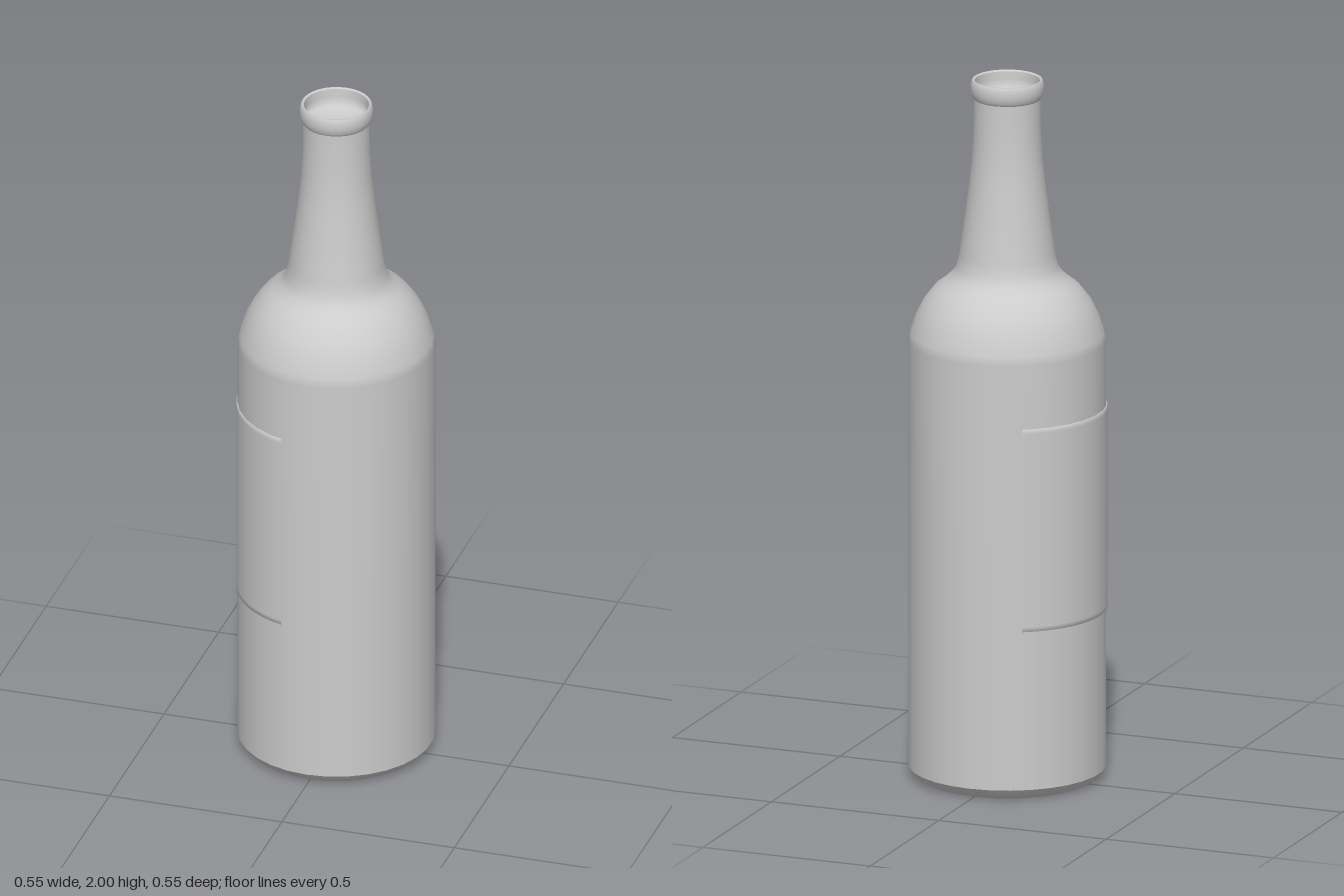
import * as THREE from 'three';

const SIDES = 30;
const material = new THREE.MeshStandardMaterial({ color: 0xcccccc });
const labelMaterial = new THREE.MeshStandardMaterial({ color: 0xcccccc, side: THREE.DoubleSide });

// Surface of revolution from [radius, height] pairs, listed upwards on the outside
function lathe(name, profile) {
  const points = profile.map(([r, y]) => new THREE.Vector2(r, y));
  const mesh = new THREE.Mesh(new THREE.LatheGeometry(points, SIDES), material);
  mesh.name = name;
  return mesh;
}

// Thin curved sheet with short edges that meet the bottle wall
function createLabel() {
  const start = THREE.MathUtils.degToRad(211);
  const sweep = THREE.MathUtils.degToRad(133);
  const profile = [[0.270, 0.487], [0.277, 0.487], [0.277, 0.5], [0.277, 1.055], [0.277, 1.068], [0.270, 1.068]];
  const geometry = new THREE.LatheGeometry(
    profile.map(([r, y]) => new THREE.Vector2(r, y)), 20, start, sweep);
  const mesh = new THREE.Mesh(geometry, labelMaterial);
  mesh.name = 'label';
  return mesh;
}

export function createModel() {
  const group = new THREE.Group();
  group.name = 'bottle';

  // Base disc and chamfered foot
  group.add(lathe('base', [[0, 0], [0.24, 0]]));
  group.add(lathe('foot', [[0.24, 0], [0.257, 0.01], [0.274, 0.032]]));

  // Straight wall, rounded shoulder and tapering neck
  group.add(lathe('body', [
    [0.274, 0.032], [0.274, 0.64], [0.274, 1.25], [0.269, 1.275], [0.254, 1.32],
    [0.233, 1.362], [0.202, 1.402], [0.175, 1.422], [0.155, 1.441], [0.141, 1.463],
    [0.133, 1.50], [0.118, 1.61], [0.105, 1.71], [0.098, 1.78], [0.094, 1.86], [0.093, 1.945],
  ]));

  // Rounded lip, turning in to a shallow recess
  group.add(lathe('lip', [
    [0.093, 1.945], [0.099, 1.953], [0.102, 1.968], [0.102, 1.985], [0.098, 1.998],
    [0.094, 2.0], [0.090, 1.996],
  ]));
  group.add(lathe('mouth', [[0.090, 1.996], [0.088, 1.975], [0.086, 1.945], [0, 1.94]]));

  // Label wrapped round the model's right side
  group.add(createLabel());
  return group;
}
